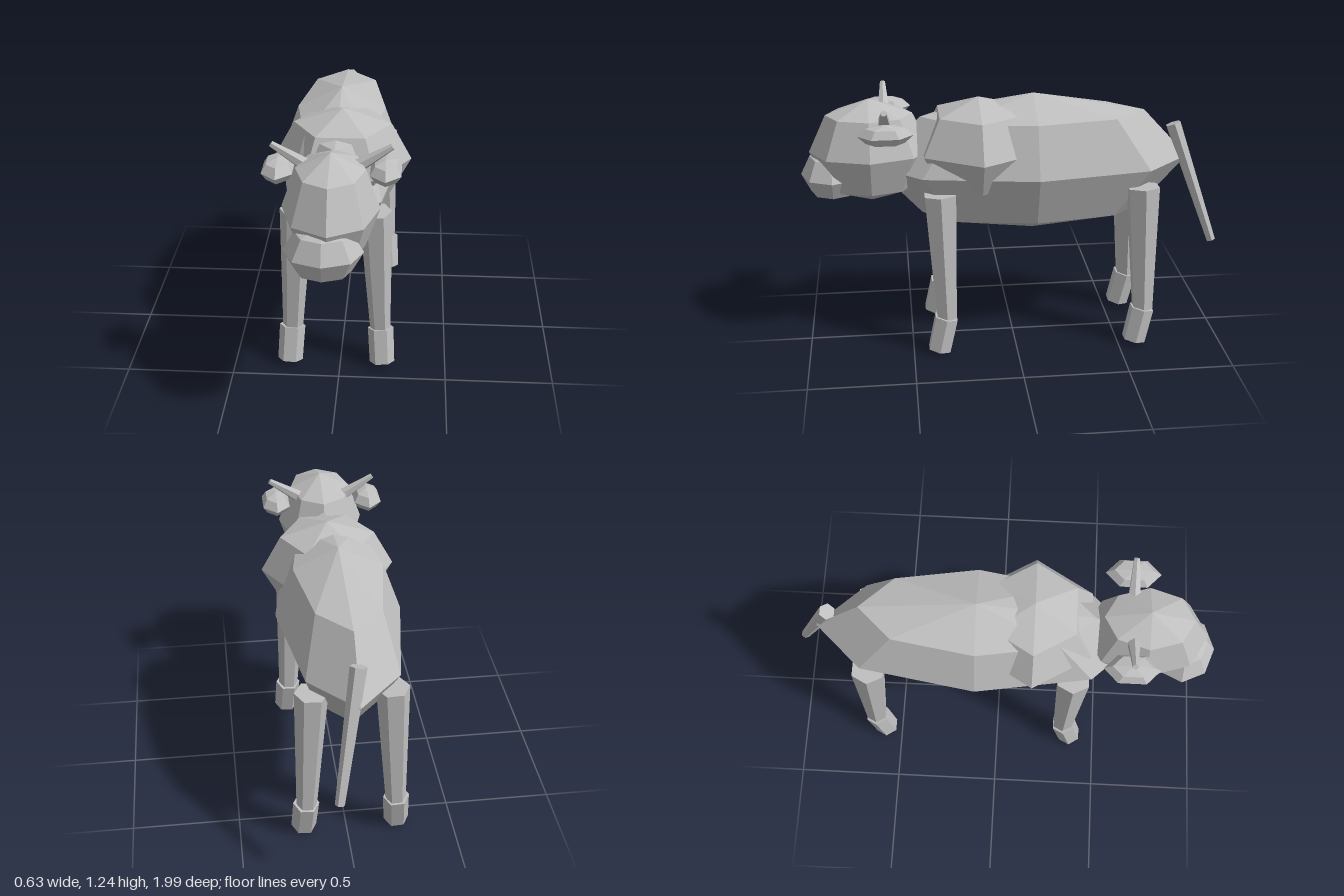
import * as THREE from 'three';

export function createModel() {
  const model = new THREE.Group();
  const hide = new THREE.MeshStandardMaterial({ color: 0xbfbfbf, flatShading: true });
  hide.name = 'grey hide';
  const MID = -0.02; // the animal's centre line

  function add(name, geometry, parent = model) {
    const mesh = new THREE.Mesh(geometry, hide);
    mesh.name = name;
    parent.add(mesh);
    return mesh;
  }

  // Faceted ellipsoid with four bands; phi turns its corners around y
  function blob(name, sides, centre, radii, phi = 0) {
    const mesh = add(name, new THREE.SphereGeometry(1, sides, 4, phi));
    mesh.position.set(...centre);
    mesh.scale.set(...radii);
    return mesh;
  }

  // Tapered six-sided rod between two points, with corners towards +x and -x
  function rod(name, from, to, rFrom, rTo, depth = 1, parent = model) {
    const a = new THREE.Vector3(...from);
    const b = new THREE.Vector3(...to);
    const axis = b.clone().sub(a);
    const geometry = new THREE.CylinderGeometry(rTo, rFrom, axis.length(), 6, 1, false, Math.PI / 2);
    geometry.scale(1, 1, depth);
    // Build upright, so that rods pointing down are not flipped over
    const down = axis.y < 0;
    if (down) geometry.rotateX(Math.PI);
    const up = axis.normalize().multiplyScalar(down ? -1 : 1);
    const mesh = add(name, geometry, parent);
    mesh.quaternion.setFromUnitVectors(new THREE.Vector3(0, 1, 0), up);
    mesh.position.copy(a).add(b).multiplyScalar(0.5);
    return mesh;
  }

  // Trunk, shoulders and head
  blob('body', 8, [MID, 0.89, -0.1], [0.293, 0.34, 0.755]);
  blob('shoulderHump', 6, [0, 0.985, 0.16], [0.315, 0.24, 0.305]);
  blob('head', 8, [MID, 0.975, 0.67], [0.21, 0.25, 0.285]);
  blob('muzzle', 8, [-0.04, 0.86, 0.85], [0.17, 0.125, 0.15]);

  // Tail hangs back and swings to the left
  rod('tail', [MID, 1.055, -0.78], [0.08, 0.48, -0.975], 0.038, 0.022);

  for (const [side, s] of [['left', 1], ['right', -1]]) {
    // Ears and horns
    blob(side + 'Ear', 6, [MID + s * 0.229, 1.117, 0.597], [0.076, 0.05, 0.126], Math.PI / 2);
    rod(side + 'Horn', [MID + s * 0.1, 1.13, 0.6], [MID + s * 0.256, 1.229, 0.6], 0.032, 0.014);

    // Legs with hooves tilted forward
    for (const [end, z, zAnkle] of [['Front', 0.355, 0.337], ['Back', -0.605, -0.62]]) {
      const leg = new THREE.Group();
      leg.name = side + end + 'Leg';
      model.add(leg);
      rod('shank', [MID + s * 0.18, 0.806, z], [MID + s * 0.208, 0.18, zAnkle], 0.076, 0.048, 1.1, leg);
      rod('hoof', [MID + s * 0.21, 0.185, zAnkle + 0.003], [MID + s * 0.22, 0.018, zAnkle + 0.04],
        0.061, 0.059, 1, leg);
    }
  }
  return model;
}
